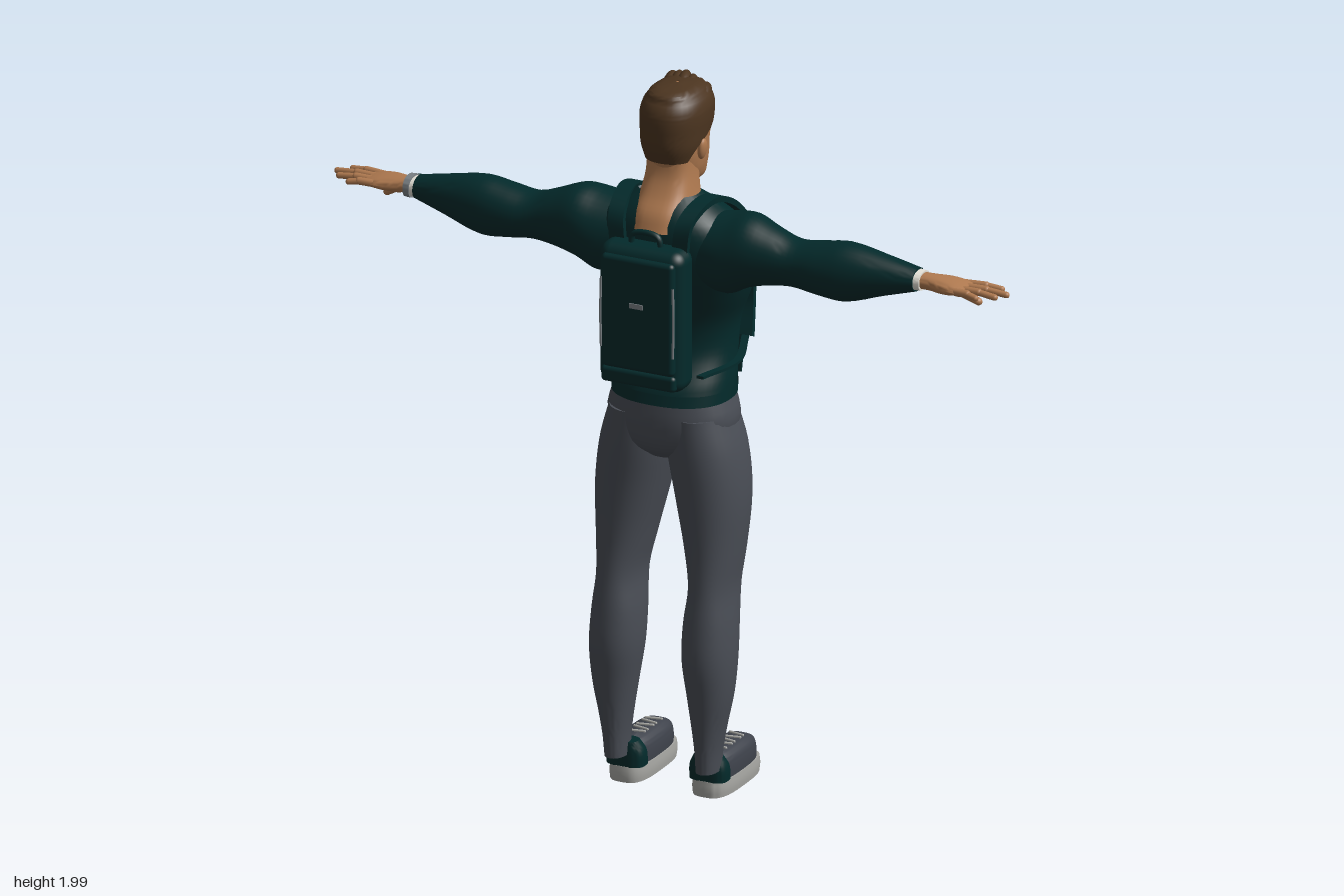
import * as THREE from 'three';
import { toCreasedNormals, mergeVertices } from 'three/addons/utils/BufferGeometryUtils.js';
import { RoundedBoxGeometry } from 'three/addons/geometries/RoundedBoxGeometry.js';

const mat = (name, color, side = THREE.FrontSide) => {
  const m = new THREE.MeshStandardMaterial({ color, side });
  m.name = name;
  return m;
};
const V = (x, y, z) => new THREE.Vector3(x, y, z);

// skin a list of rings (each an array of points, counter-clockwise about the direction of travel)
function skinRings(rings, closed, caps, crease) {
  const n = rings[0].length, pos = [], idx = [];
  rings.forEach(r => r.forEach(p => pos.push(p.x, p.y, p.z)));
  const cols = closed ? n : n - 1;
  for (let j = 0; j < rings.length - 1; j++) for (let i = 0; i < cols; i++) {
    const a = j * n + i, b = j * n + (i + 1) % n;
    idx.push(a, b, b + n, a, b + n, a + n);
  }
  if (caps) [0, rings.length - 1].forEach((j, end) => {
    const c = V(0, 0, 0);
    rings[j].forEach(p => c.addScaledVector(p, 1 / n));
    const k = pos.length / 3;
    pos.push(c.x, c.y, c.z);
    for (let i = 0; i < n; i++) {
      const a = j * n + i, b = j * n + (i + 1) % n;
      end ? idx.push(a, b, k) : idx.push(b, a, k);
    }
  });
  let g = new THREE.BufferGeometry();
  g.setAttribute('position', new THREE.Float32BufferAttribute(pos, 3));
  g.setIndex(idx);
  g = mergeVertices(g, 1e-5);
  return toCreasedNormals(g, crease);
}

// smooth loft: each row is [t, uMin, uMax, vMin, vMax, opening angle at the face side]
// axis y: u = x, v = z;  axis x: u = z, v = y
function loft(rows, { axis = 'y', e = 2.3, n = 36, sub = 4, open = false, crease = 0.9 } = {}) {
  const size = rows[0].length - 1;
  const curve = new THREE.CubicInterpolant(new Float32Array(rows.map(r => r[0])),
    new Float32Array(rows.flatMap(r => r.slice(1))), size);
  const pw = s => Math.sign(s) * Math.abs(s) ** (2 / e);
  const ts = [];
  rows.forEach((r, i) => {
    if (i) for (let k = 1; k <= sub; k++) ts.push(THREE.MathUtils.lerp(rows[i - 1][0], r[0], k / sub));
    else ts.push(r[0]);
  });
  const rings = ts.map(t => {
    const [u0, u1, v0, v1, gap = 0] = [...curve.evaluate(t)];
    const g = open ? Math.max(0, gap) : 0, ring = [];
    for (let i = 0; i < (open ? n + 1 : n); i++) {
      const a = Math.PI + g + (2 * Math.PI - 2 * g) * i / n;
      const u = (u0 + u1) / 2 + (u1 - u0) / 2 * pw(Math.sin(a));
      const v = (v0 + v1) / 2 + (v1 - v0) / 2 * pw(Math.cos(a));
      ring.push(axis === 'y' ? V(u, t, v) : V(t, v, u));
    }
    return ring;
  });
  return skinRings(rings, !open, !open, crease);
}

// flat band following a path, its width along x
function band(points, w, th) {
  const c = new THREE.CatmullRomCurve3(points.map(p => V(...p))), rings = [], X = V(1, 0, 0);
  for (let i = 0; i <= 40; i++) {
    const p = c.getPoint(i / 40), N = c.getTangent(i / 40).cross(X).normalize();
    rings.push([[1, -1], [1, 1], [-1, 1], [-1, -1]].map(([a, b]) =>
      p.clone().addScaledVector(X, a * w / 2).addScaledVector(N, b * th / 2)));
  }
  return skinRings(rings, true, true, 0.6);
}
const tube = (points, r) => new THREE.TubeGeometry(new THREE.CatmullRomCurve3(points.map(p => V(...p))), 40, r, 6);
const sym = rows => rows.map(([y, rx, ...rest]) => [y, -rx, rx, ...rest]);

export function createModel() {
  const model = new THREE.Group();
  const skin = mat('skin', 0xb07a50), hair = mat('hair', 0x4c3520, THREE.DoubleSide);
  const jacket = mat('dark teal cloth', 0x032a2b, THREE.DoubleSide), trousers = mat('slate trousers', 0x494d55);
  const shirt = mat('off-white cloth', 0xe4e0d6), shoe = mat('shoe grey', 0x3e424b);
  const sole = mat('sole grey', 0xa6a6a2), metal = mat('mid grey trim', 0x7c8286), dark = mat('dark eye', 0x1c1410);
  const add = (parent, name, geo, m, p = [0, 0, 0], s = [1, 1, 1], r = [0, 0, 0]) => {
    const mesh = new THREE.Mesh(geo, m);
    mesh.name = name;
    mesh.position.set(...p); mesh.scale.set(...s); mesh.rotation.set(...r);
    parent.add(mesh);
    return mesh;
  };
  const ball = new THREE.SphereGeometry(1, 20, 14);

  // torso: open jacket over a shirt
  const torso = [
    [1.125, 0.165, -0.158, 0.118, 0.08], [1.16, 0.165, -0.162, 0.108, 0.09], [1.25, 0.158, -0.172, 0.062, 0.12],
    [1.33, 0.165, -0.18, 0.06, 0.15], [1.42, 0.2, -0.186, 0.085, 0.2], [1.5, 0.22, -0.18, 0.112, 0.25],
    [1.57, 0.22, -0.16, 0.125, 0.33], [1.63, 0.185, -0.12, 0.12, 0.45], [1.67, 0.13, -0.085, 0.1, 0.75],
    [1.7, 0.085, -0.05, 0.07, 0.95]];
  add(model, 'jacket', loft(sym(torso), { open: true, n: 48 }), jacket);
  add(model, 'shirt', loft(sym(torso.slice(0, 8).map(([y, x, f, b]) => [Math.min(y, 1.615), x - 0.012, f + 0.007, b - 0.012]))), shirt);
  add(model, 'jacketHem', loft(sym([[1.12, 0.168, -0.16, 0.121, 0.08], [1.15, 0.168, -0.164, 0.115, 0.09]]),
    { open: true, n: 48 }), jacket);
  [-1, 1].forEach(s => add(model, 'jacketZip', tube([[0.05, 1.55, -0.172], [0.037, 1.42, -0.19], [0.024, 1.28, -0.18],
    [0.016, 1.13, -0.163]], 0.003), metal, [0, 0, 0], [s, 1, 1]));

  // neck and head
  add(model, 'neck', loft(sym([[1.615, 0.08, -0.1, 0.133], [1.66, 0.079, -0.082, 0.115], [1.7, 0.072, -0.072, 0.083],
    [1.75, 0.066, -0.07, 0.057], [1.82, 0.064, -0.07, 0.05]]), { e: 2.8 }), skin);
  add(model, 'shirtCollar', new THREE.TorusGeometry(0.082, 0.008, 8, 32), jacket, [0, 1.635, -0.018], [0.9, 1, 1], [Math.PI / 2 - 0.25, 0, 0]);
  add(model, 'head', loft(sym([[1.697, 0.03, -0.128, -0.07], [1.71, 0.047, -0.139, -0.03], [1.74, 0.062, -0.141, 0.03],
    [1.78, 0.071, -0.143, 0.055], [1.82, 0.076, -0.138, 0.065], [1.86, 0.078, -0.144, 0.068], [1.91, 0.076, -0.138, 0.064],
    [1.95, 0.06, -0.11, 0.05], [1.975, 0.03, -0.07, 0.02]])), skin);
  add(model, 'nose', loft(sym([[1.775, 0.01, -0.15, -0.125], [1.787, 0.018, -0.168, -0.12], [1.8, 0.013, -0.162, -0.12],
    [1.825, 0.008, -0.15, -0.12], [1.85, 0.009, -0.145, -0.12]]), { n: 16 }), skin);
  add(model, 'upperLip', ball, skin, [0, 1.752, -0.138], [0.024, 0.006, 0.009]);
  add(model, 'lowerLip', ball, skin, [0, 1.741, -0.137], [0.02, 0.007, 0.01]);
  add(model, 'mouthLine', ball, dark, [0, 1.7465, -0.139], [0.022, 0.0015, 0.006]);
  for (const s of [-1, 1]) {
    add(model, 'eyeWhite', ball, shirt, [s * 0.031, 1.833, -0.129], [0.014, 0.007, 0.007]);
    add(model, 'iris', ball, dark, [s * 0.031, 1.833, -0.134], [0.006, 0.006, 0.004]);
    add(model, 'eyebrow', ball, hair, [s * 0.034, 1.853, -0.134], [0.021, 0.005, 0.008], [0, s * -0.25, s * 0.08]);
    add(model, 'ear', ball, skin, [s * 0.081, 1.815, -0.022], [0.011, 0.031, 0.019], [0.15, 0, s * -0.15]);
  }

  // hair: cap open around the face, with locks swept over the top
  add(model, 'hairCap', loft(sym([[1.79, 0.072, -0.1, 0.068, 2.1], [1.83, 0.083, -0.12, 0.08, 1.75], [1.87, 0.088, -0.145, 0.083, 1.1],
    [1.905, 0.09, -0.152, 0.083, 0.6], [1.93, 0.088, -0.152, 0.079, 0], [1.96, 0.074, -0.135, 0.06, 0],
    [1.98, 0.045, -0.1, 0.03, 0], [1.986, 0.004, -0.045, -0.035, 0]]), { open: true }), hair);
  for (let i = 0; i < 6; i++)
    add(model, 'hairLock', ball, hair, [-0.055 + i * 0.022, 1.955 - Math.abs(i - 2) * 0.006, -0.1 + i * 0.004],
      [0.021, 0.032, 0.056], [0.25, 0.25, -0.2]);

  // hips
  add(model, 'hips', loft(sym([[0.955, 0.06, -0.1, 0.07], [0.985, 0.14, -0.135, 0.1], [1.05, 0.18, -0.15, 0.115],
    [1.14, 0.162, -0.148, 0.11]])), trousers);

  for (const s of [1, -1]) {
    const side = new THREE.Group();
    side.name = s > 0 ? 'leftSide' : 'rightSide';
    side.scale.x = s;
    model.add(side);

    // leg
    add(side, 'trouserLeg', loft([[0.08, 0.105, 0.165, 0, 0.095], [0.14, 0.102, 0.17, -0.003, 0.1], [0.2, 0.095, 0.18, -0.01, 0.107],
      [0.3, 0.08, 0.2, -0.025, 0.12], [0.4, 0.066, 0.208, -0.04, 0.13], [0.5, 0.066, 0.205, -0.056, 0.122],
      [0.6, 0.074, 0.198, -0.08, 0.108], [0.7, 0.055, 0.207, -0.103, 0.1], [0.85, 0.02, 0.215, -0.13, 0.1],
      [0.98, -0.003, 0.2, -0.14, 0.105], [1.08, 0.0, 0.17, -0.13, 0.105]], { e: 2.15 }), trousers);

    // shoe
    add(side, 'shoeSole', loft([[0, 0.067, 0.178, -0.212, 0.053], [0.022, 0.065, 0.18, -0.215, 0.055],
      [0.045, 0.067, 0.178, -0.212, 0.053]], { e: 3.2, sub: 2 }), sole);
    add(side, 'shoeUpper', loft([[0.04, 0.07, 0.175, -0.2, 0.046], [0.075, 0.071, 0.174, -0.2, 0.046],
      [0.098, 0.077, 0.168, -0.19, 0.045], [0.112, 0.09, 0.155, -0.16, 0.035]], { e: 3 }), shoe);
    add(side, 'shoeHeel', loft([[0.044, 0.068, 0.177, -0.02, 0.052], [0.085, 0.07, 0.175, -0.015, 0.052],
      [0.115, 0.085, 0.16, 0, 0.05]], { e: 3 }), jacket);
    for (let i = 0; i < 5; i++)
      add(side, 'lace', new RoundedBoxGeometry(0.05, 0.008, 0.007, 2, 0.003), sole, [0.1225, 0.113, -0.04 - i * 0.025], [1, 1, 1], [0, i % 2 ? 0.2 : -0.2, 0]);

    // sleeve
    add(side, 'sleeve', loft([[0.1, -0.08, 0.1, 1.46, 1.65], [0.19, -0.1, 0.115, 1.44, 1.662], [0.25, -0.075, 0.112, 1.47, 1.672],
      [0.32, -0.05, 0.1, 1.49, 1.648], [0.385, -0.042, 0.092, 1.497, 1.626], [0.46, -0.047, 0.098, 1.488, 1.634],
      [0.535, -0.046, 0.096, 1.482, 1.645], [0.65, -0.03, 0.075, 1.517, 1.626], [0.74, -0.02, 0.055, 1.543, 1.606]],
      { axis: 'x', e: 2.1 }), jacket);
    add(side, 'shirtCuff', loft([[0.73, -0.019, 0.053, 1.547, 1.602], [0.757, -0.017, 0.051, 1.549, 1.6]], { axis: 'x' }), shirt);

    // hand
    add(side, 'palm', loft([[0.74, -0.01, 0.045, 1.553, 1.596], [0.78, -0.015, 0.045, 1.553, 1.595], [0.82, -0.032, 0.052, 1.55, 1.592],
      [0.86, -0.036, 0.056, 1.555, 1.586], [0.885, -0.03, 0.05, 1.561, 1.58]], { axis: 'x', n: 24 }), skin);
    const finger = (name, a, b, r) => {
      const A = V(...a), B = V(...b), d = B.clone().sub(A), m = A.clone().add(B).multiplyScalar(0.5);
      add(side, name, new THREE.CapsuleGeometry(r, d.length() - r, 5, 10), skin, m.toArray())
        .quaternion.setFromUnitVectors(V(0, 1, 0), d.normalize());
    };
    [['indexFinger', -0.025, -0.036, 0.965], ['middleFinger', -0.001, -0.004, 0.995], ['ringFinger', 0.022, 0.026, 0.975],
      ['littleFinger', 0.044, 0.055, 0.932]].forEach(([name, z0, z1, x]) => {
      const mid = (0.86 + x) / 2;
      finger(name, [0.855, 1.571, z0], [mid + 0.01, 1.573, (z0 + z1) / 2], 0.0105);
      finger(name + 'Tip', [mid, 1.573, (z0 + z1) / 2], [x, 1.567, z1], 0.0088);
    });
    finger('thumbBase', [0.785, 1.563, -0.008], [0.835, 1.533, -0.045], 0.016);
    finger('thumb', [0.83, 1.535, -0.043], [0.88, 1.503, -0.07], 0.0105);

    // backpack strap with piping and a loose end
    const path = [[0.09, 1.55, 0.13], [0.1, 1.65, 0.12], [0.115, 1.69, 0.03], [0.12, 1.655, -0.08], [0.128, 1.57, -0.165],
      [0.13, 1.46, -0.19], [0.13, 1.34, -0.188], [0.145, 1.25, -0.15], [0.172, 1.22, -0.05], [0.14, 1.22, 0.11]];
    add(side, 'shoulderStrap', band(path.slice(0, 8), 0.045, 0.016), jacket);
    add(side, 'lowerStrap', band(path.slice(7), 0.02, 0.008), jacket);
    add(side, 'strapPiping', tube(path.slice(2, 7).map(([x, y, z]) => [x - 0.023, y, z - 0.004]), 0.004), metal);
    add(side, 'strapEnd', band([[0.12, 1.36, -0.198], [0.118, 1.25, -0.186], [0.115, 1.135, -0.168]], 0.016, 0.006), jacket);
    add(side, 'strapBuckle', new RoundedBoxGeometry(0.05, 0.025, 0.018, 2, 0.004), metal, [0.13, 1.4, -0.194]);

    // backpack side zip
    add(side, 'sideZip', tube([[0.106, 1.3, 0.203], [0.108, 1.4, 0.203], [0.106, 1.5, 0.203]], 0.0035), metal);
  }

  // watch on the right wrist
  add(model, 'watchStrap', loft([[-0.77, -0.02, 0.053, 1.544, 1.604], [-0.752, -0.021, 0.054, 1.543, 1.605]], { axis: 'x' }), metal);
  add(model, 'watchCase', new RoundedBoxGeometry(0.03, 0.03, 0.014, 2, 0.005), jacket, [-0.755, 1.575, -0.028]);

  // backpack
  add(model, 'backpackBody', new RoundedBoxGeometry(0.25, 0.4, 0.095, 5, 0.035), jacket, [0, 1.39, 0.148]);
  add(model, 'backpackPanel', new RoundedBoxGeometry(0.215, 0.32, 0.03, 4, 0.013), jacket, [0, 1.405, 0.192]);
  add(model, 'backpackLowerPocket', new RoundedBoxGeometry(0.22, 0.045, 0.03, 4, 0.012), jacket, [0, 1.222, 0.188]);
  add(model, 'backpackPatch', new THREE.BoxGeometry(0.04, 0.014, 0.004), metal, [0, 1.432, 0.208]);
  add(model, 'backpackHandle', tube([[-0.045, 1.575, 0.15], [-0.035, 1.615, 0.15], [0.035, 1.615, 0.15], [0.045, 1.575, 0.15]], 0.008), jacket);
  return model;
}
